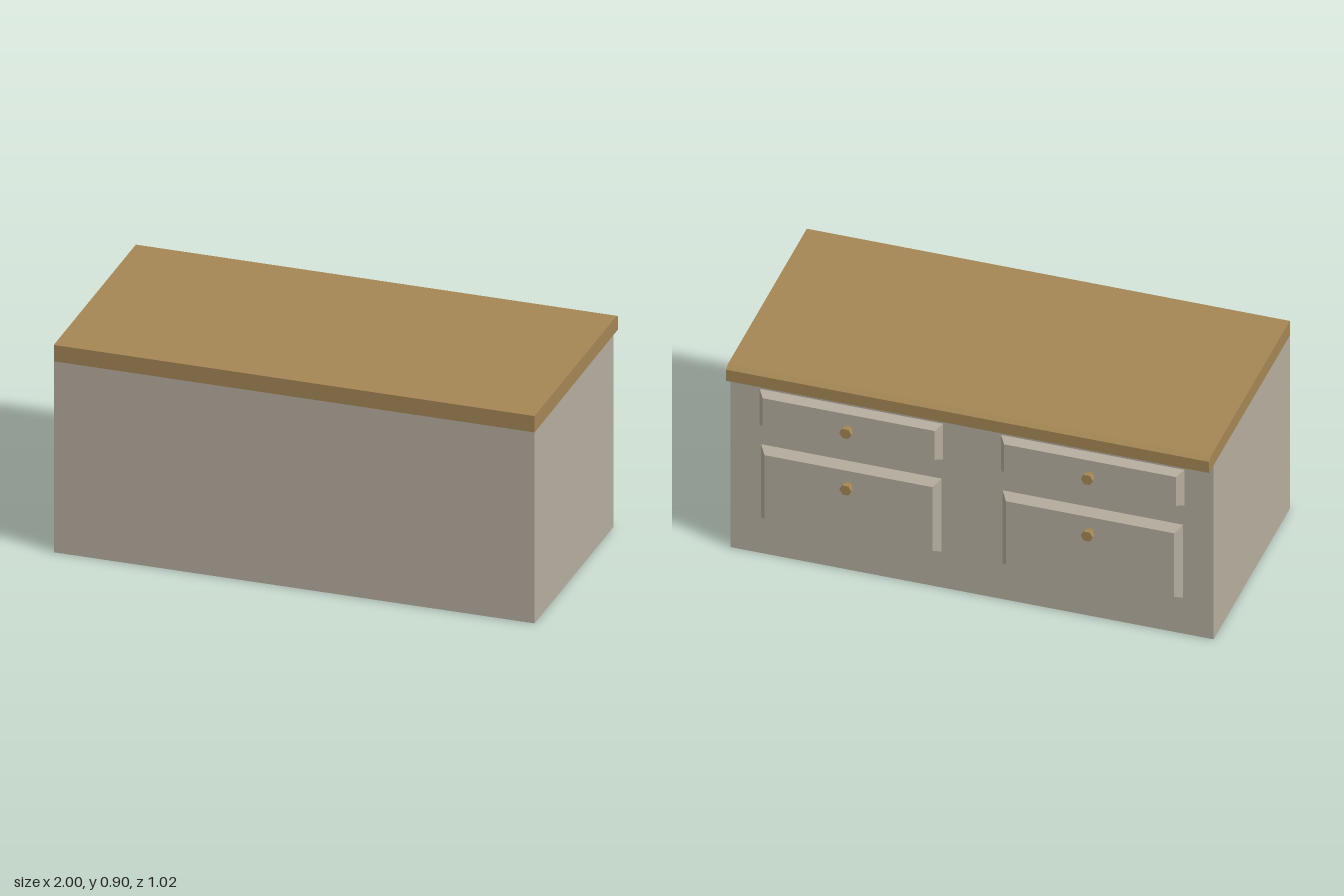
import * as THREE from 'three';

const paint = new THREE.MeshStandardMaterial({ color: 0xb6ae9f });
paint.name = 'greige paint';
const wood = new THREE.MeshStandardMaterial({ color: 0xa48755 });
wood.name = 'oak wood';

// Side profile of [z, y] points, extruded across the full width
function profileBlock(name, points, material) {
  const shape = new THREE.Shape(points.map(([z, y]) => new THREE.Vector2(z, y)));
  const geo = new THREE.ExtrudeGeometry(shape, { depth: 2, bevelEnabled: false });
  geo.rotateY(-Math.PI / 2).translate(1, 0, 0);
  const mesh = new THREE.Mesh(geo, material);
  mesh.name = name;
  return mesh;
}

// Raised drawer panel: a box whose outer (-z) face is inset on all sides
function drawerPanel(width, height, insetX, insetY) {
  const depth = 0.036;
  const geo = new THREE.BoxGeometry(width, height, depth);
  const pos = geo.attributes.position;
  for (let i = 0; i < pos.count; i++) {
    if (pos.getZ(i) > 0) continue;
    pos.setX(i, pos.getX(i) - Math.sign(pos.getX(i)) * insetX);
    pos.setY(i, pos.getY(i) - Math.sign(pos.getY(i)) * insetY);
  }
  geo.computeVertexNormals();
  geo.translate(0, 0, -0.435 - depth / 2);
  const mesh = new THREE.Mesh(geo, paint);
  mesh.name = 'drawerPanel';
  return mesh;
}

// Six-sided knob: flared stem and a straight rim
function knob() {
  const group = new THREE.Group();
  group.name = 'knob';
  for (const [name, rTop, rBase, z0, z1] of [
    ['knobStem', 0.025, 0.016, -0.47, -0.496],
    ['knobRim', 0.025, 0.025, -0.496, -0.51],
  ]) {
    const geo = new THREE.CylinderGeometry(rTop, rBase, z0 - z1, 6, 1, false, Math.PI / 2).toNonIndexed();
    geo.computeVertexNormals();
    geo.rotateX(-Math.PI / 2).translate(0, 0, (z0 + z1) / 2);
    const mesh = new THREE.Mesh(geo, wood);
    mesh.name = name;
    group.add(mesh);
  }
  return group;
}

export function createModel() {
  const model = new THREE.Group();
  model.name = 'counter';

  // Cabinet body and overhanging worktop with a chamfered rear lip
  model.add(profileBlock('cabinet', [[-0.435, 0], [0.51, 0], [0.51, 0.829], [-0.435, 0.833]], paint));
  model.add(profileBlock('worktop',
    [[-0.49, 0.833], [-0.435, 0.833], [0.51, 0.829], [0.51, 0.9], [-0.471, 0.9], [-0.49, 0.886]], wood));

  // Two columns of a shallow and a deep drawer
  const rows = [
    { name: 'upperDrawer', y: 0.7, w: 0.76, h: 0.17, ix: 0.024, iy: 0.016, knobY: 0.702 },
    { name: 'lowerDrawer', y: 0.346, w: 0.748, h: 0.35, ix: 0.026, iy: 0.023, knobY: 0.431 },
  ];
  for (const x of [-0.5, 0.5]) {
    for (const row of rows) {
      const drawer = new THREE.Group();
      drawer.name = row.name;
      const panel = drawerPanel(row.w, row.h, row.ix, row.iy);
      panel.position.y = row.y;
      const handle = knob();
      handle.position.y = row.knobY;
      drawer.add(panel, handle);
      drawer.position.x = x;
      model.add(drawer);
    }
  }
  return model;
}
